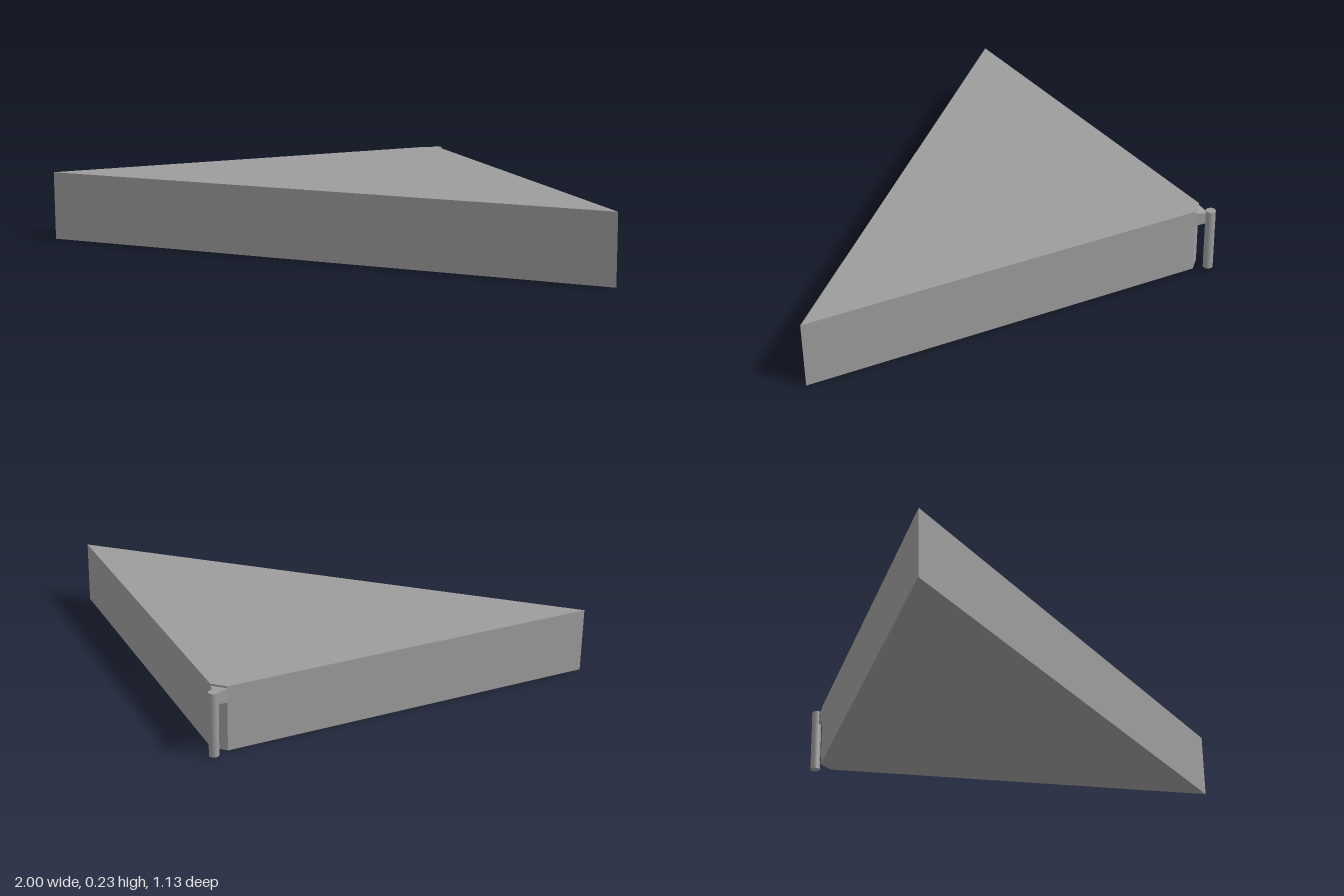
import * as THREE from 'three';

const color = 0x9c9c9c;
const smooth = new THREE.MeshStandardMaterial({ color });
const flat = new THREE.MeshStandardMaterial({ color, flatShading: true });

// Upright prism from an [x, z] outline
function prism(name, outline, y0, y1) {
  const shape = new THREE.Shape(outline.map(([x, z]) => new THREE.Vector2(x, -z)));
  const geometry = new THREE.ExtrudeGeometry(shape, { depth: y1 - y0, bevelEnabled: false });
  geometry.rotateX(-Math.PI / 2).translate(0, y0, 0);
  const mesh = new THREE.Mesh(geometry, flat);
  mesh.name = name;
  return mesh;
}

export function createModel() {
  const group = new THREE.Group();
  group.name = 'wedge';
  const front = 0.565, back = -0.5, tip = 0.03, height = 0.235;

  // Triangular body with its rear corner cut flat
  group.add(prism('body', [[-1, front], [1, front], [tip, back], [-tip, back]], 0, height));

  // Bracket narrowing towards the pin, its top sloping down slightly
  const bracketEnd = -0.535;
  const bracket = prism('bracket',
    [[-tip, back], [tip, back], [0.006, bracketEnd], [-0.006, bracketEnd]], 0.177, 0.228);
  const p = bracket.geometry.attributes.position;
  for (let i = 0; i < p.count; i++) {
    if (p.getZ(i) < back - 0.01) p.setY(i, p.getY(i) > 0.2 ? 0.218 : 0.179);
  }
  bracket.geometry.computeVertexNormals();
  group.add(bracket);

  // Vertical hinge pin
  const pin = new THREE.Mesh(new THREE.CylinderGeometry(0.0175, 0.0175, 0.23, 32), smooth);
  pin.name = 'hingePin';
  pin.position.set(0, 0.115, -0.5475);
  group.add(pin);

  return group;
}
